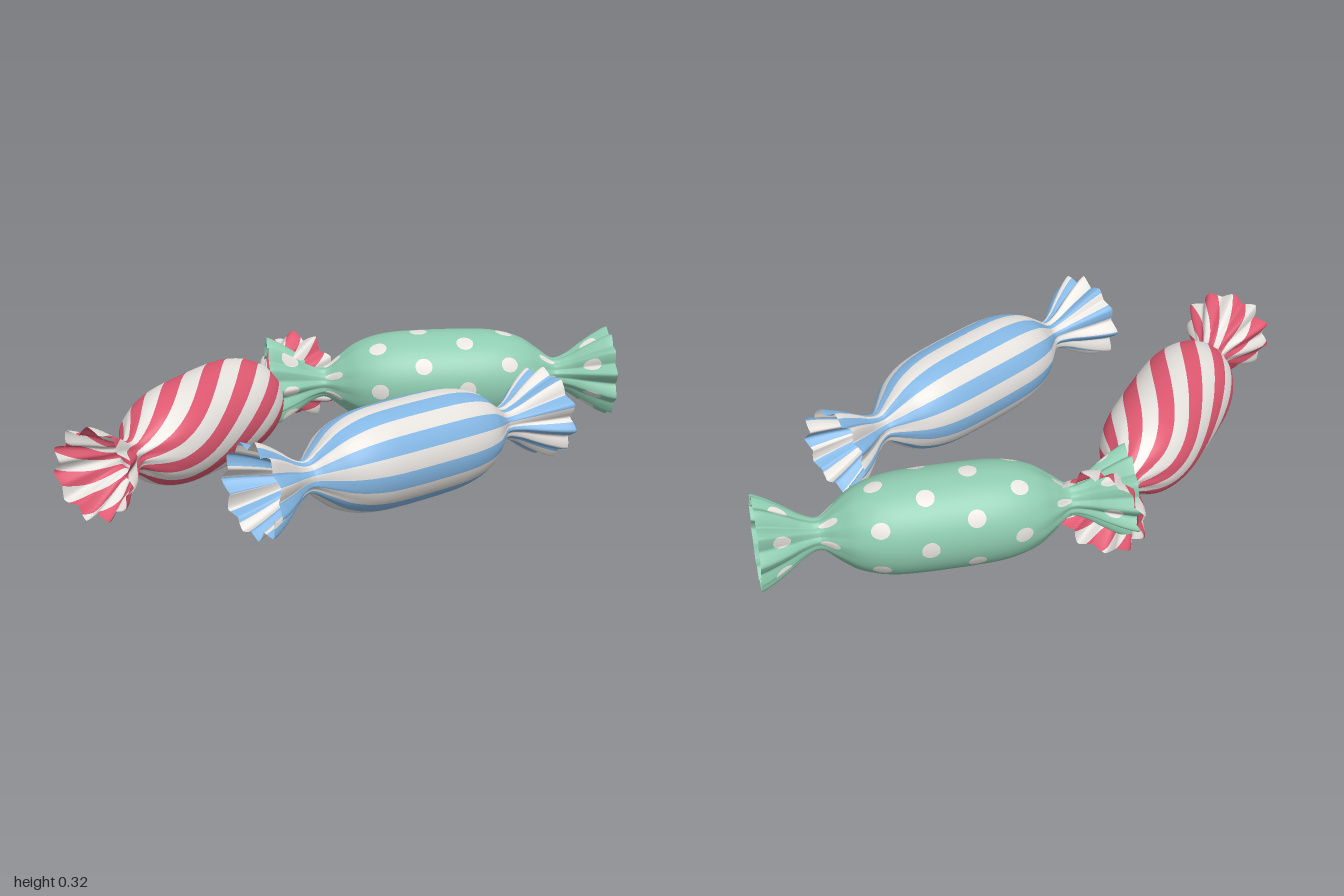
import * as THREE from 'three';

const HALF = 0.576, NECK = 0.384, RADIUS = 0.16, AROUND = 144;
// radius from the middle of the sweet to the end of the wrapper, evenly spaced
const profile = new THREE.SplineCurve(
  [0.16, 0.16, 0.159, 0.157, 0.151, 0.139, 0.118, 0.083, 0.05, 0.062, 0.09, 0.116, 0.136]
    .map((r, i) => new THREE.Vector2(i, r)));

const material = (name, color) => {
  const m = new THREE.MeshStandardMaterial({ color, side: THREE.DoubleSide });
  m.name = name;
  return m;
};

// point on the wrapper: u along the axis, a around it (0 = up), with pleats towards the ends
function wrapperPoint(u, a, seed) {
  const d = Math.abs(u);
  const r = profile.getPoint(Math.min(d / HALF, 1)).y;
  const phase = seed + (u > 0 ? 1.3 : 0);
  const wave = Math.asin(Math.sin(11 * a + phase + 0.5 * Math.sin(2 * a + phase))) * 2 / Math.PI;
  const uneven = 0.75 + 0.25 * Math.sin(3 * a + 2 * phase);
  const depth = 0.003 * THREE.MathUtils.smoothstep(d, 0.2, NECK)
    + 0.016 * THREE.MathUtils.smoothstep(d, NECK, HALF);
  const rr = r + depth * wave * uneven;
  return [u, rr * Math.cos(a), rr * Math.sin(a)];
}

// stretch of wrapper from u0 to u1; pattern gives vertex placement and the colour index
function wrapperPart(name, u0, u1, rows, pattern, mats, seed) {
  const params = [], pos = [], faces = [[], []];
  for (let i = 0; i <= rows; i++) {
    for (let j = 0; j < AROUND; j++) {
      const p = pattern.place(u0 + (u1 - u0) * i / rows, j / AROUND * Math.PI * 2);
      params.push(p);
      pos.push(...wrapperPoint(p[0], p[1], seed));
    }
  }
  for (let i = 0; i < rows; i++) {
    for (let j = 0; j < AROUND; j++) {
      const k = (j + 1) % AROUND;
      const a = i * AROUND + j, b = i * AROUND + k, c = a + AROUND, d = b + AROUND;
      for (const tri of [[a, b, c], [b, d, c]]) faces[pattern.colour(tri, params, j)].push(...tri);
    }
  }
  const geo = new THREE.BufferGeometry();
  geo.setAttribute('position', new THREE.Float32BufferAttribute(pos, 3));
  geo.setIndex([...faces[0], ...faces[1]]);
  geo.addGroup(0, faces[0].length, 0);
  geo.addGroup(faces[0].length, faces[1].length, 1);
  geo.computeVertexNormals();
  const mesh = new THREE.Mesh(geo, mats);
  mesh.name = name;
  return mesh;
}

// stripes follow the grid columns, sheared when twisted
const stripes = (pairs, twist, phase) => ({
  place: (u, a) => [u, a + phase + twist * u],
  colour: (tri, params, j) => Math.floor(j * pairs * 2 / AROUND) % 2,
});

// staggered rings of dots; vertices near a dot's rim are moved onto it
const DOT = 0.028, STEP = Math.PI / 3, RING = HALF / 4;
function nearestDot(u, a) {
  const k = Math.floor(u / RING);
  const off = k % 2 === 0 ? STEP / 2 : 0;
  const uc = (k + 0.5) * RING, ac = Math.round((a - off) / STEP) * STEP + off;
  return { uc, ac, dist: Math.hypot(u - uc, (a - ac) * RADIUS) };
}
const dots = {
  place: (u, a) => {
    const { uc, ac, dist } = nearestDot(u, a);
    if (Math.abs(dist - DOT) > 0.0042) return [u, a];
    const s = DOT / dist;
    return [uc + (u - uc) * s, ac + (a - ac) * s];
  },
  colour: (tri, params) => {
    let u = 0, a = 0;
    const first = params[tri[0]][1];
    for (const t of tri) {
      u += params[t][0] / 3;
      // unwrap the angle across the seam
      const diff = params[t][1] - first;
      a += (first + diff - Math.round(diff / (2 * Math.PI)) * 2 * Math.PI) / 3;
    }
    return nearestDot(u, a).dist < DOT ? 1 : 0;
  },
};

export function createModel() {
  const white = material('wrapper white', 0xe6e2de);
  const red = material('wrapper red', 0xde5870);
  const green = material('wrapper green', 0x8ecbb0);
  const blue = material('wrapper blue', 0x84b7e4);
  const model = new THREE.Group();
  model.name = 'wrappedSweets';

  const sweets = [
    { name: 'blueStripedSweet', x: -0.16, z: 0.352, dx: 1.145, dz: 0.12, colour: blue,
      pattern: stripes(9, 0, Math.PI / 18), seed: 0.4 },
    { name: 'redSwirlSweet', x: -0.41, z: -0.29, dx: 1.115, dz: -0.295, colour: red,
      pattern: stripes(8, -3.3, 0), seed: 2.1 },
    { name: 'greenDottedSweet', x: 0.45, z: -0.077, dx: 0.784, dz: 0.62, colour: green,
      pattern: dots, seed: 3.7 },
  ];
  for (const s of sweets) {
    const sweet = new THREE.Group();
    sweet.name = s.name;
    const mats = [s.colour, white];
    sweet.add(
      wrapperPart('sweetBody', -NECK, NECK, 96, s.pattern, mats, s.seed),
      wrapperPart('rightWrapperEnd', -HALF, -NECK, 24, s.pattern, mats, s.seed),
      wrapperPart('leftWrapperEnd', NECK, HALF, 24, s.pattern, mats, s.seed));
    sweet.position.set(s.x, RADIUS, s.z);
    sweet.rotation.y = -Math.atan2(s.dz, s.dx);
    model.add(sweet);
  }
  return model;
}
